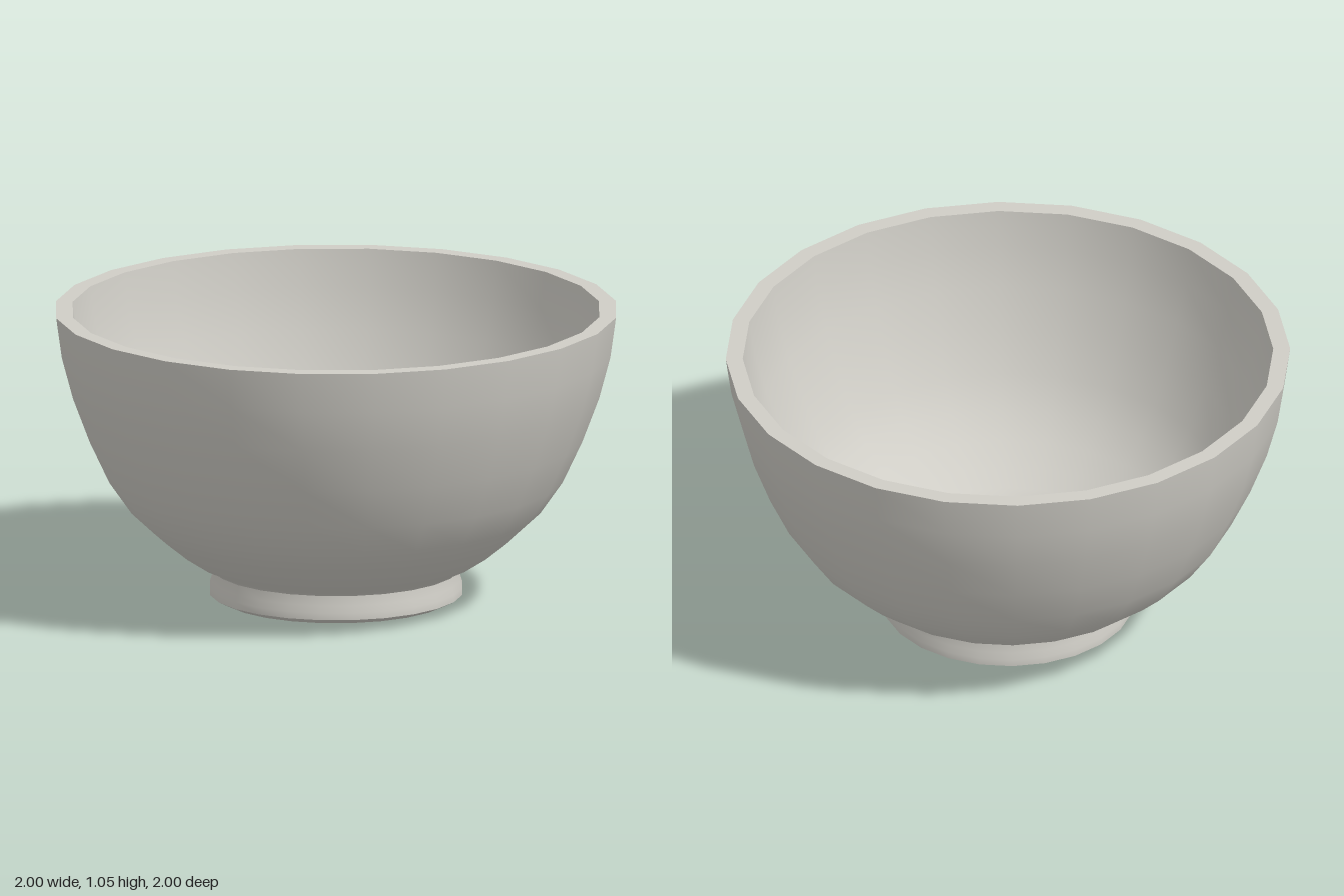
import * as THREE from 'three';

const SIDES = 24;

export function createModel() {
  const group = new THREE.Group();
  group.name = 'bowl';
  const ceramic = new THREE.MeshStandardMaterial({ color: 0xcfcdc6 });
  ceramic.name = 'warm grey ceramic';

  // Each section is lathed separately, so edges between sections stay sharp.
  const section = (name, profile) => {
    const points = profile.map(([r, y]) => new THREE.Vector2(r, y));
    const mesh = new THREE.Mesh(new THREE.LatheGeometry(points, SIDES), ceramic);
    mesh.name = name;
    group.add(mesh);
  };

  // Underside and foot ring
  section('base', [[0, 0], [0.34, 0.003]]);
  section('baseBevel', [[0.34, 0.003], [0.41, 0.01], [0.45, 0.03]]);
  section('foot', [[0.45, 0.03], [0.45, 0.055], [0.442, 0.08], [0.438, 0.115]]);

  // Outer wall
  section('outerWall', [
    [0.438, 0.115], [0.455, 0.13], [0.49, 0.143], [0.57, 0.195], [0.65, 0.26],
    [0.73, 0.335], [0.81, 0.45], [0.88, 0.6], [0.94, 0.76], [0.98, 0.91], [1, 1.055],
  ]);

  // Flat lip
  section('rim', [[1, 1.055], [0.94, 1.055]]);

  // Inner wall dropping into the recessed floor
  section('innerWall', [
    [0.94, 1.055], [0.92, 0.92], [0.88, 0.775], [0.825, 0.63], [0.76, 0.485],
    [0.69, 0.38], [0.61, 0.3], [0.53, 0.24], [0.465, 0.195], [0.43, 0.175],
    [0.4, 0.14], [0.386, 0.065],
  ]);
  section('innerFloor', [[0.386, 0.065], [0, 0.065]]);

  return group;
}
